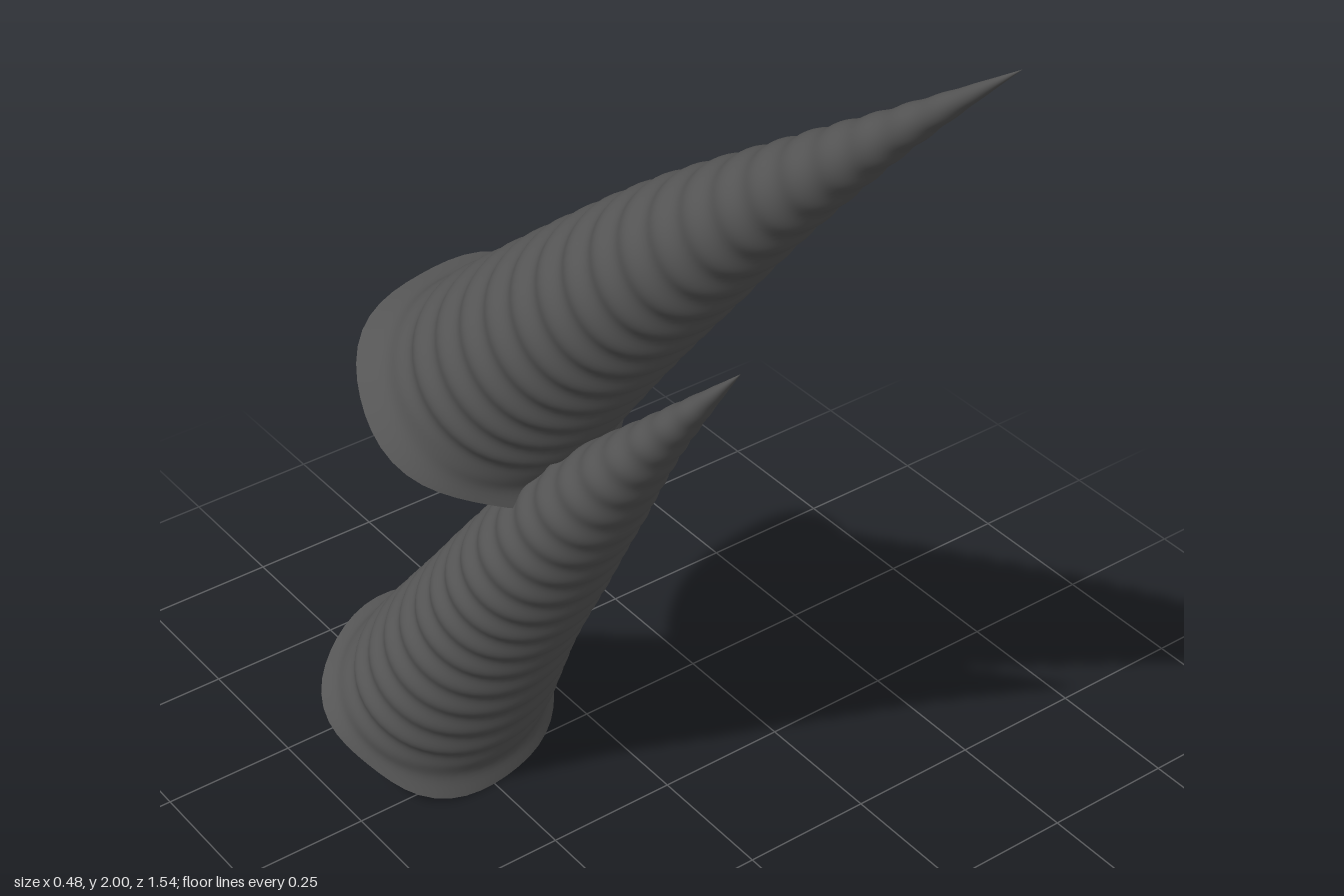
import * as THREE from 'three';

const SIDES = 48;
const ROWS = 200;

// Linear interpolation through [distance from tip (0..1), radius] pairs
function sample(profile, d) {
  for (let i = 1; i < profile.length; i++) {
    const [d0, r0] = profile[i - 1];
    const [d1, r1] = profile[i];
    if (d <= d1) return r0 + (r1 - r0) * (d - d0) / (d1 - d0);
  }
  return profile[profile.length - 1][1];
}

// Hollow ridged horn, slightly bowed, flaring into an uneven lip at its open base
function makeHorn({ name, tip, base, profile, depth, bow, skew, lipX, lipZ, phase }, material) {
  const axis = tip.clone().sub(base);
  const length = axis.length();
  const geometry = new THREE.CylinderGeometry(1, 1, 1, SIDES, ROWS, true);
  const pos = geometry.attributes.position;

  for (let i = 0; i < pos.count; i++) {
    const t = pos.getY(i) + 0.5;
    const d = 1 - t;
    const a = Math.round((Math.atan2(pos.getX(i), pos.getZ(i)) / (2 * Math.PI)) * SIDES) / SIDES * 2 * Math.PI;

    // growth rings fade out toward the tip
    const wave = 0.5 * Math.sin(2 * a + phase) + 0.35 * Math.sin(3 * a);
    const ridge = 0.0045 * Math.min(1, d * 1.6) * Math.sin(d * 2 * Math.PI * 21 + wave);
    const body = Math.max(0, sample(profile, d) + ridge * Math.min(1, d * 8));

    // lip: sharp outward flare over the last few rows
    const flare = Math.pow(THREE.MathUtils.clamp((d - 0.962) / 0.038, 0, 1), 1.6);
    const uneven = 1 + 0.025 * Math.sin(3 * a + phase) + 0.02 * Math.sin(5 * a + 2 * phase);
    const rx = THREE.MathUtils.lerp(body, lipX * uneven, flare);
    const rz = THREE.MathUtils.lerp(body * depth, lipZ * uneven, flare);

    const x = Math.sin(a) * rx;
    const z = Math.cos(a) * rz;
    const slant = skew * z * THREE.MathUtils.smoothstep(d, 0.6, 1);
    pos.setXYZ(i, x, t * length + slant, z - bow * Math.sin(Math.PI * t));
  }
  geometry.computeVertexNormals();

  // weld the normals across the seam
  const n = geometry.attributes.normal;
  for (let r = 0; r <= ROWS; r++) {
    const p = r * (SIDES + 1);
    const q = p + SIDES;
    const v = new THREE.Vector3().fromBufferAttribute(n, p)
      .add(new THREE.Vector3().fromBufferAttribute(n, q)).normalize();
    n.setXYZ(p, v.x, v.y, v.z);
    n.setXYZ(q, v.x, v.y, v.z);
  }

  const horn = new THREE.Mesh(geometry, material);
  horn.name = name;
  const up = axis.normalize();
  const side = new THREE.Vector3(1, 0, 0).addScaledVector(up, -up.x).normalize();
  const under = new THREE.Vector3().crossVectors(side, up);
  horn.quaternion.setFromRotationMatrix(new THREE.Matrix4().makeBasis(side, up, under));
  horn.position.copy(base);
  return horn;
}

export function createModel() {
  const group = new THREE.Group();
  group.name = 'horns';
  const hornGrey = new THREE.MeshStandardMaterial({ color: 0x555555, side: THREE.DoubleSide });
  hornGrey.name = 'hornGrey';

  group.add(makeHorn({
    name: 'upperHorn',
    tip: new THREE.Vector3(0.015, 2.0, 0.77),
    base: new THREE.Vector3(0, 0.905, -0.4),
    profile: [[0, 0], [0.19, 0.035], [0.375, 0.075], [0.55, 0.118], [0.74, 0.155], [0.92, 0.19], [1, 0.2]],
    depth: 0.93, bow: 0.027, skew: 0.16, lipX: 0.24, lipZ: 0.225, phase: 0.6,
  }, hornGrey));

  group.add(makeHorn({
    name: 'lowerHorn',
    tip: new THREE.Vector3(0.015, 1.255, 0.23),
    base: new THREE.Vector3(0, 0.118, -0.605),
    profile: [[0, 0], [0.22, 0.05], [0.4, 0.1], [0.57, 0.136], [0.75, 0.162], [0.92, 0.198], [1, 0.205]],
    depth: 0.84, bow: 0.038, skew: 0, lipX: 0.23, lipZ: 0.203, phase: 2.1,
  }, hornGrey));

  return group;
}
